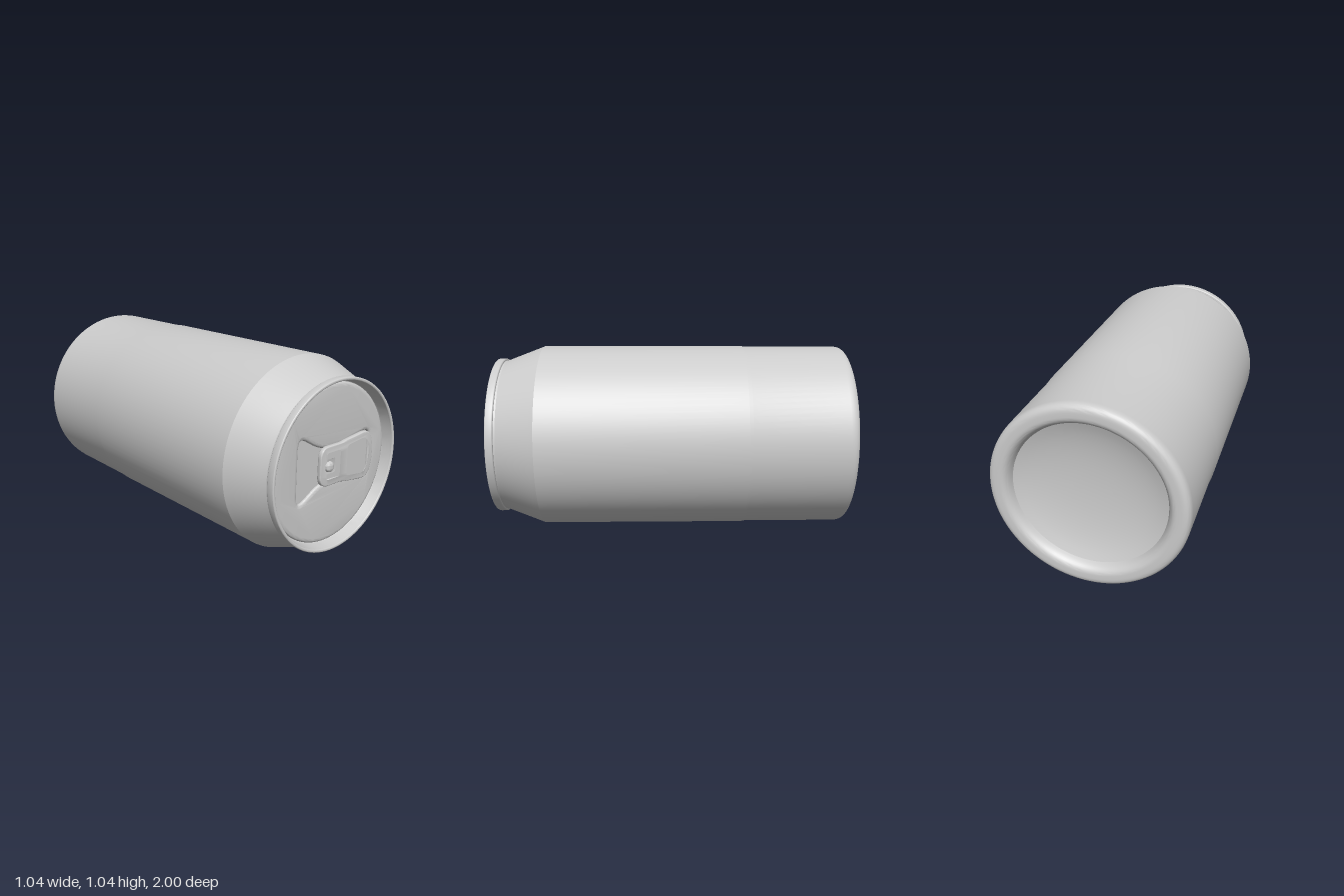
import * as THREE from 'three';
import { toCreasedNormals } from 'three/addons/utils/BufferGeometryUtils.js';

const material = new THREE.MeshStandardMaterial({ color: 0xcccccc });

// Traces a closed polygon with rounded corners; points are [x, y, radius].
function rounded(path, pts) {
  const n = pts.length;
  pts.forEach(([x, y, r], i) => {
    const p = new THREE.Vector2(x, y);
    const toward = ([qx, qy]) => {
      const d = new THREE.Vector2(qx, qy).sub(p);
      return d.setLength(Math.min(r, d.length() / 2)).add(p);
    };
    const a = toward(pts[(i + n - 1) % n]);
    const b = toward(pts[(i + 1) % n]);
    if (i === 0) path.moveTo(a.x, a.y); else path.lineTo(a.x, a.y);
    path.quadraticCurveTo(x, y, b.x, b.y);
  });
  path.closePath();
  return path;
}

// Completes an outline symmetric about y = 0 from its upper half.
const mirrored = (half) => [...half, ...half.map(([x, y, r]) => [x, -y, r]).reverse()];

function addMesh(group, name, geometry, crease, z = 0) {
  const mesh = new THREE.Mesh(toCreasedNormals(geometry, crease), material);
  mesh.name = name;
  mesh.position.z = z;
  group.add(mesh);
  return mesh;
}

export function createModel() {
  const can = new THREE.Group();
  can.name = 'drinkCan';
  can.position.y = 0.52;

  // Body: domed base, wall, tapered shoulder, rolled lip and lid floor
  const profile = new THREE.Path();
  profile.moveTo(0, -0.89);
  profile.quadraticCurveTo(0.26, -0.89, 0.4, -0.95);
  profile.quadraticCurveTo(0.415, -1, 0.45, -1);
  profile.lineTo(0.472, -1);
  profile.quadraticCurveTo(0.515, -1, 0.515, -0.95);
  profile.lineTo(0.516, -0.43);
  profile.lineTo(0.52, -0.41);
  profile.lineTo(0.52, 0.73);
  profile.quadraticCurveTo(0.478, 0.84, 0.438, 0.945);
  profile.lineTo(0.438, 0.955);
  profile.quadraticCurveTo(0.449, 0.955, 0.449, 0.966);
  profile.lineTo(0.449, 0.992);
  profile.quadraticCurveTo(0.449, 1, 0.441, 1);
  profile.quadraticCurveTo(0.431, 1, 0.431, 0.99);
  profile.lineTo(0.424, 0.94);
  profile.quadraticCurveTo(0.422, 0.928, 0.412, 0.928);
  profile.lineTo(0.39, 0.935);
  profile.lineTo(0, 0.935);
  const body = new THREE.LatheGeometry(profile.getPoints(8), 96).rotateX(Math.PI / 2);
  addMesh(can, 'body', body, 0.3);

  // Lid panel with a soft-edged pressed recess around the tab
  const panel = new THREE.Shape().absarc(0, 0, 0.394, 0, Math.PI * 2, false);
  panel.holes.push(rounded(new THREE.Path(), mirrored([
    [-0.255, 0.225, 0.12], [-0.06, 0.108, 0.07], [0.06, 0.108, 0.05], [0.318, 0.158, 0.09],
  ])));
  addMesh(can, 'lidPanel', new THREE.ExtrudeGeometry(panel, {
    depth: 0.002, bevelEnabled: true, bevelThickness: 0.013, bevelSize: 0.022,
    bevelSegments: 5, curveSegments: 48,
  }), 0.6, 0.935);

  // Pull tab: finger opening at the wide end, slot around the rivet tongue
  const tabShape = rounded(new THREE.Shape(), mirrored([
    [-0.091, 0.101, 0.055], [0.06, 0.101, 0.02], [0.09, 0.108, 0.02],
    [0.268, 0.13, 0.06], [0.3, 0.05, 0.06],
  ]));
  tabShape.holes.push(
    rounded(new THREE.Path(), mirrored([
      [0.1, 0.083, 0.02], [0.25, 0.102, 0.045], [0.273, 0.03, 0.05],
    ])),
    rounded(new THREE.Path(), [
      [-0.052, 0.073, 0.015], [0.052, 0.073, 0.015], [0.052, -0.073, 0.015], [-0.052, -0.073, 0.015],
      [-0.052, -0.036, 0.008], [0.012, -0.036, 0.012], [0.012, 0.036, 0.012], [-0.052, 0.036, 0.008],
    ]),
  );
  addMesh(can, 'pullTab', new THREE.ExtrudeGeometry(tabShape, {
    depth: 0.014, bevelEnabled: true, bevelThickness: 0.005, bevelSize: 0.005,
    bevelOffset: -0.002, bevelSegments: 3, curveSegments: 8,
  }), 0.7, 0.951);

  // Rivet holding the tab: short shank under a domed head
  const rivetProfile = new THREE.Path();
  rivetProfile.moveTo(0.028, 0.935);
  rivetProfile.lineTo(0.028, 0.97);
  rivetProfile.quadraticCurveTo(0.028, 0.988, 0, 0.988);
  const rivet = new THREE.LatheGeometry(rivetProfile.getPoints(8), 32).rotateX(Math.PI / 2);
  addMesh(can, 'rivet', rivet, 0.7).position.x = -0.035;

  const model = new THREE.Group();
  model.add(can);
  return model;
}
